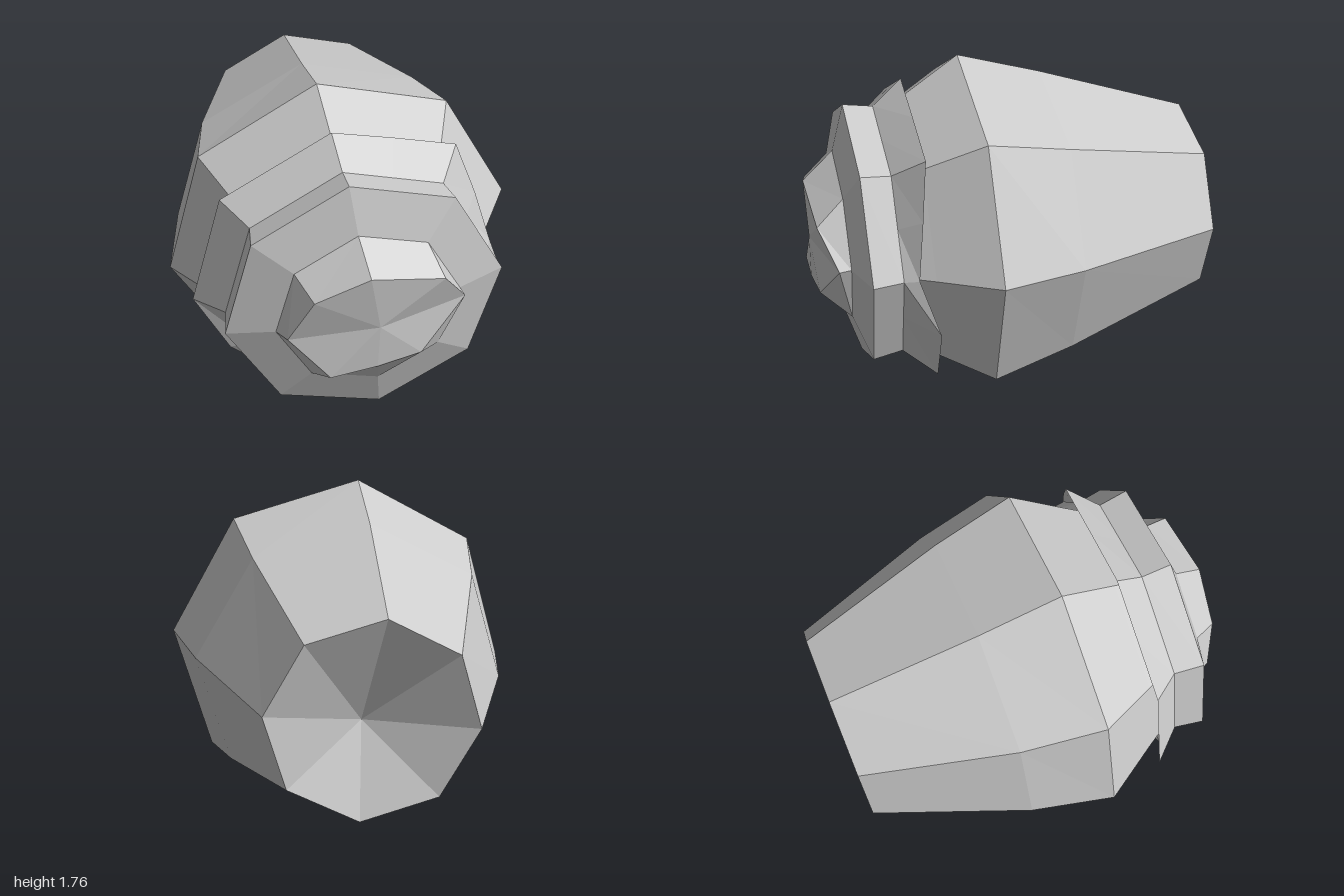
import * as THREE from 'three';

const SIDES = 8, TILT = THREE.MathUtils.degToRad(7), CY = 0.885;
const material = new THREE.MeshStandardMaterial({ color: 0xcccccc, flatShading: true, side: THREE.DoubleSide });

// Slightly rotated octagon around the z axis, counter-clockwise from +x
function octagon(r, z, cx = 0, rx = r) {
  return Array.from({ length: SIDES }, (_, i) => {
    const a = TILT + (i * Math.PI * 2) / SIDES;
    return [cx + rx * Math.cos(a), CY + r * Math.sin(a), z];
  });
}

// Adds the midpoint of every side
function withMidpoints(ring) {
  return ring.flatMap((p, i) => {
    const q = ring[(i + 1) % ring.length];
    return [p, p.map((v, k) => (v + q[k]) / 2)];
  });
}

// Faceted skin over rings listed from back to front, with optional end points
function skin(name, rings, backTip, frontTip) {
  const pos = [];
  const tri = (a, b, c) => pos.push(...a, ...b, ...c);
  const n = rings[0].length, last = rings[rings.length - 1];
  for (let i = 0; i < n; i++) {
    const j = (i + 1) % n;
    for (let k = 0; k + 1 < rings.length; k++) {
      const back = rings[k], front = rings[k + 1];
      tri(back[i], back[j], front[j]);
      tri(back[i], front[j], front[i]);
    }
    if (backTip) tri(rings[0][j], rings[0][i], backTip);
    if (frontTip) tri(last[i], last[j], frontTip);
  }
  const geometry = new THREE.BufferGeometry();
  geometry.setAttribute('position', new THREE.Float32BufferAttribute(pos, 3));
  geometry.computeVertexNormals();
  const mesh = new THREE.Mesh(geometry, material);
  mesh.name = name;
  return mesh;
}

export function createModel() {
  const group = new THREE.Group();
  group.name = 'facetedBulb';

  // Tapering body with a sunken back end
  group.add(skin('body', [
    octagon(0.5, -1, 0.015, 0.515),
    octagon(0.755, -0.24, 0, 0.79),
    octagon(0.885, 0.18),
    octagon(0.7, 0.47),
    octagon(0.61, 0.62),
  ], [0.04, 0.83, -0.81]));

  // Ragged skirt flaring back from the head
  const hem = [
    [0.69, 0.98, 0.55], [0.61, 1.25, 0.51], [0.51, 1.52, 0.47], [0.2, 1.6, 0.47],
    [-0.1, 1.67, 0.47], [-0.37, 1.52, 0.47], [-0.64, 1.37, 0.47], [-0.72, 1.08, 0.47],
    [-0.8, 0.79, 0.47], [-0.64, 0.53, 0.57], [-0.44, 0.33, 0.55], [-0.22, 0.13, 0.42],
    [0.1, 0.16, 0.45], [0.33, 0.33, 0.58], [0.66, 0.4, 0.47], [0.79, 0.72, 0.47],
  ];
  group.add(skin('skirt', [hem, withMidpoints(octagon(0.665, 0.62))]));

  // Head band and uneven blunt nose
  const nose = [
    [0.46, 0.94, 0.9], [0.33, 1.13, 0.98], [-0.03, 1.2, 1], [-0.29, 1.08, 0.97],
    [-0.41, 0.84, 0.92], [-0.22, 0.63, 1], [0.01, 0.66, 1], [0.23, 0.69, 0.98],
  ];
  group.add(skin('head', [
    octagon(0.665, 0.62), octagon(0.69, 0.77), octagon(0.455, 0.84), nose,
  ], null, [0.02, 0.9, 0.995]));

  return group;
}
